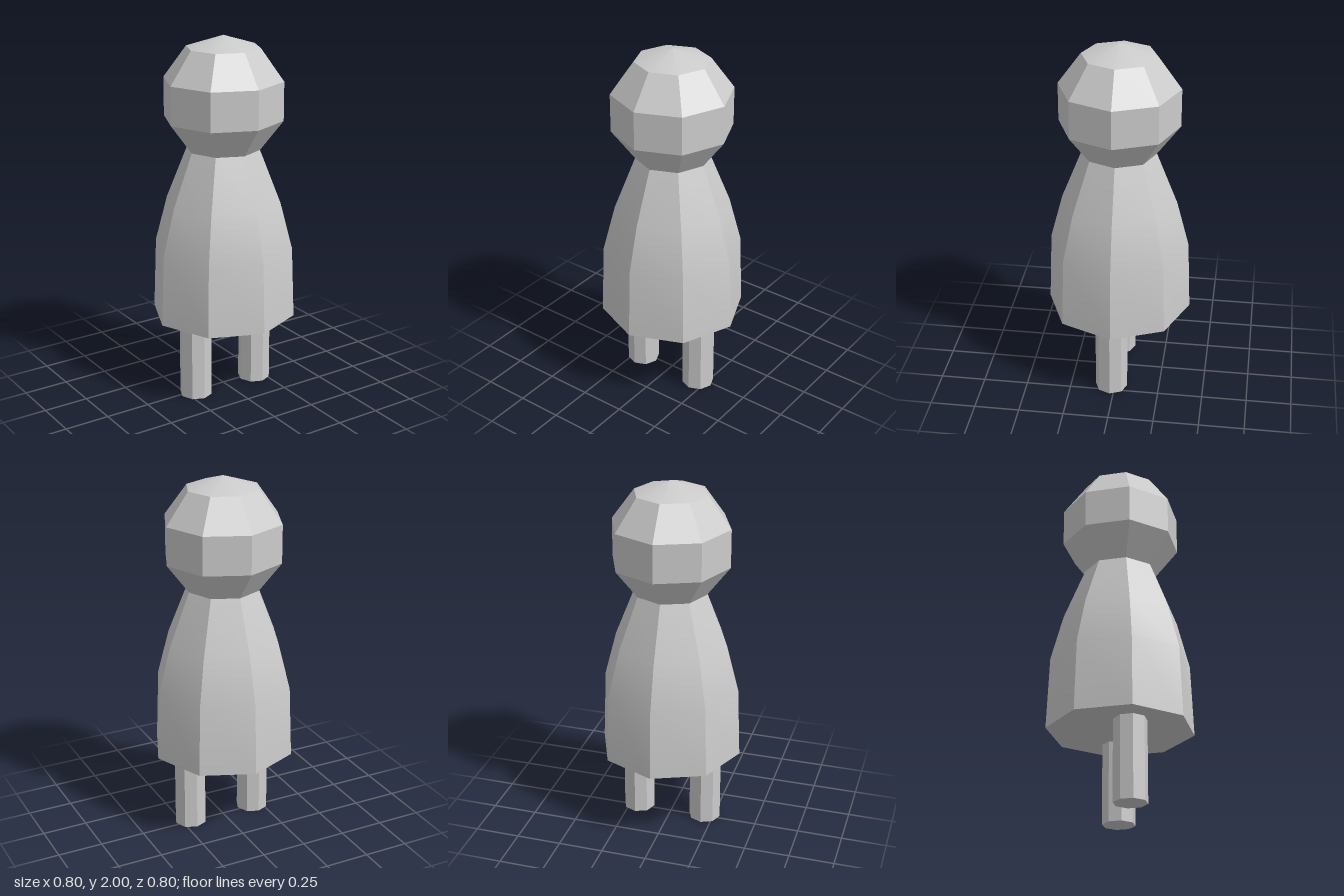
import * as THREE from 'three';
import { toCreasedNormals } from 'three/addons/utils/BufferGeometryUtils.js';

const SIDES = 8;
const CREASE = Math.PI / 6;

export function createModel() {
  const model = new THREE.Group();
  model.name = 'figure';
  const material = new THREE.MeshStandardMaterial({ color: 0xcccccc });

  const add = (name, geometry, x = 0, y = 0, z = 0) => {
    const mesh = new THREE.Mesh(toCreasedNormals(geometry, CREASE), material);
    mesh.name = name;
    mesh.position.set(x, y, z);
    model.add(mesh);
  };

  // Eight-sided turned form from [radius, height] pairs, bottom to top
  const turned = (profile) =>
    new THREE.LatheGeometry(profile.map(([r, y]) => new THREE.Vector2(r, y)), SIDES);

  // Bell-shaped robe with a slightly bulging underside
  add('body', turned([[0, 0.435], [0.398, 0.45], [0.382, 0.845], [0.315, 1.1], [0.2, 1.39]]));

  // Faceted head with a shallow pointed crown
  add('head', turned([[0.2, 1.39], [0.325, 1.555], [0.325, 1.765], [0.2, 1.937], [0, 2]]));

  // Straight legs, set a little forward
  for (const [name, side] of [['leftLeg', 1], ['rightLeg', -1]]) {
    add(name, new THREE.CylinderGeometry(0.09, 0.09, 0.45, SIDES), side * 0.197, 0.225, 0.02);
  }

  return model;
}
